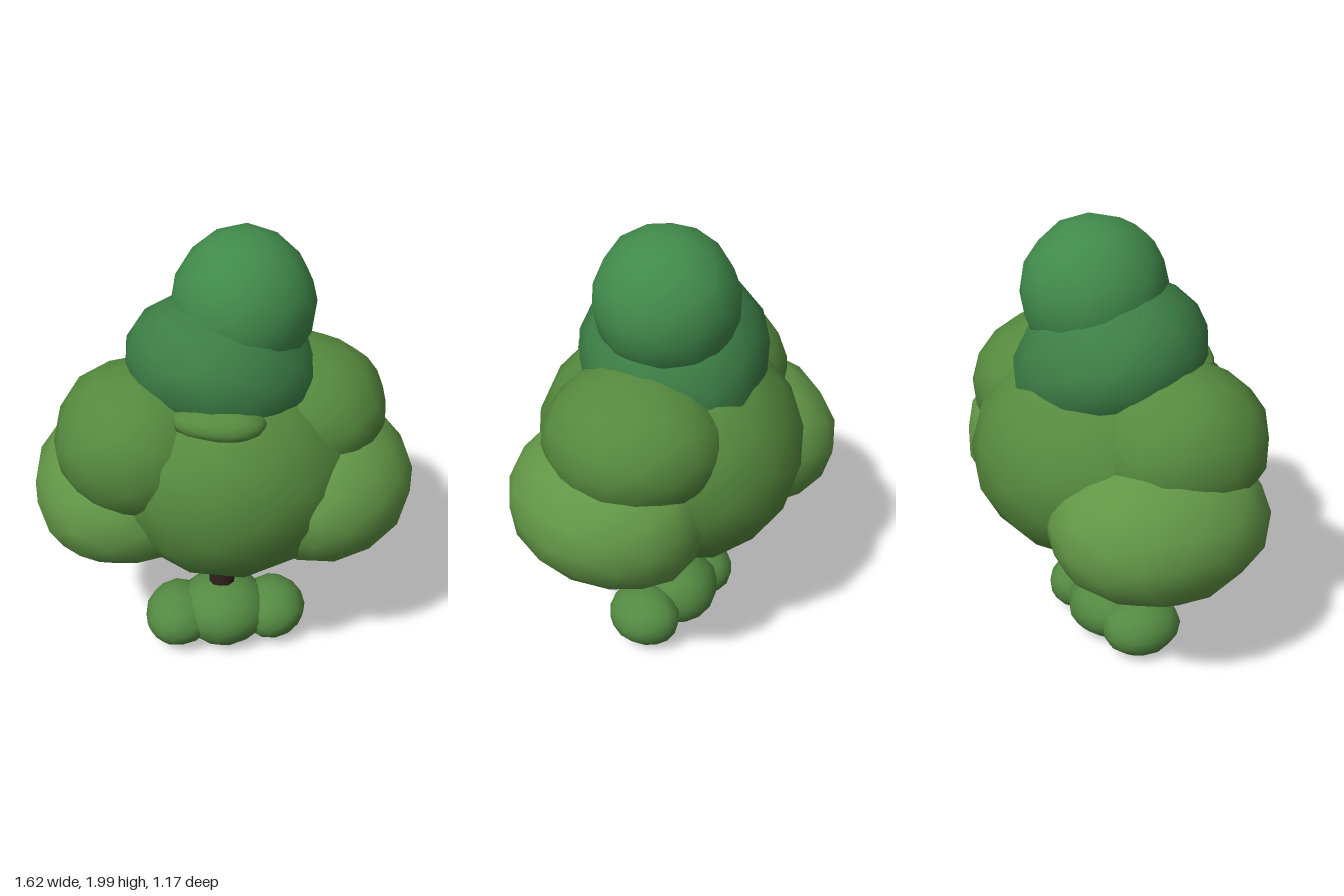
import * as THREE from 'three';
import { mergeVertices } from 'three/addons/utils/BufferGeometryUtils.js';

const mat = (color) => new THREE.MeshStandardMaterial({ color });

// Low-poly, gently lumpy ellipsoid with smooth normals; lean shifts x and z with height
function blob(name, material, [x, y, z], [rx, ry, rz], seed, lump = 0.025, lean = [0, 0]) {
  let geo = new THREE.IcosahedronGeometry(1, 2);
  geo.deleteAttribute('normal');
  geo.deleteAttribute('uv');
  geo = mergeVertices(geo, 1e-3);
  const pos = geo.attributes.position;
  const v = new THREE.Vector3();
  for (let i = 0; i < pos.count; i++) {
    v.fromBufferAttribute(pos, i);
    const n = Math.sin(v.x * 5 + seed) + Math.sin(v.y * 6 + seed * 2.3) * Math.cos(v.z * 5 - seed);
    v.multiplyScalar(1 + lump * n * 0.7);
    const h = v.y * ry;
    pos.setXYZ(i, v.x * rx + lean[0] * h, h, v.z * rz + lean[1] * h);
  }
  geo.computeVertexNormals();
  const mesh = new THREE.Mesh(geo, material);
  mesh.name = name;
  mesh.position.set(x, y, z);
  return mesh;
}

export function createModel() {
  const tree = new THREE.Group();
  tree.name = 'tree';

  const bark = mat(0x30211c);
  const leaf = mat(0x568a3e);
  const lightLeaf = mat(0x629646);
  const darkLeaf = mat(0x3c7d45);
  const topLeaf = mat(0x418a4b);
  const bushLeaf = mat(0x548a42);

  // Trunk
  const trunk = new THREE.Mesh(new THREE.CylinderGeometry(0.05, 0.065, 0.75, 10), bark);
  trunk.name = 'trunk';
  trunk.position.set(-0.005, 0.395, 0.012);
  tree.add(trunk);

  // Crown: centre, side lobes, dark upper layers
  const crown = new THREE.Group();
  crown.name = 'crown';
  crown.add(
    blob('crownCentre', leaf, [0.02, 1.0, 0], [0.56, 0.5, 0.59], 1, 0.012),
    blob('lowerLeftLobe', lightLeaf, [0.425, 0.89, -0.05], [0.385, 0.335, 0.46], 2),
    blob('lowerRightLobe', lightLeaf, [-0.41, 0.86, 0.03], [0.41, 0.34, 0.475], 4),
    blob('upperLeftLobe', leaf, [0.32, 1.19, -0.11], [0.36, 0.31, 0.39], 3),
    blob('upperRightLobe', leaf, [-0.33, 1.15, 0.16], [0.35, 0.33, 0.38], 5),
    blob('frontLeafRidge', leaf, [0.03, 1.355, 0.35], [0.19, 0.07, 0.11], 6, 0.05),
    blob('middleCap', darkLeaf, [0, 1.42, 0], [0.4, 0.335, 0.4], 7, 0.03, [-0.18, 0.18]),
    blob('topCap', topLeaf, [0.077, 1.687, -0.04], [0.298, 0.314, 0.31], 8, 0.015),
  );
  tree.add(crown);

  // Bush around the foot of the trunk
  const bush = new THREE.Group();
  bush.name = 'bush';
  bush.add(
    blob('bushCentre', bushLeaf, [0, 0.168, 0.01], [0.213, 0.165, 0.206], 1.5),
    blob('bushLeft', bushLeaf, [0.22, 0.15, -0.04], [0.15, 0.132, 0.172], 2.5),
    blob('bushRight', bushLeaf, [-0.197, 0.15, 0.06], [0.157, 0.137, 0.18], 3.5),
  );
  tree.add(bush);

  // Rest the model on the ground
  tree.updateMatrixWorld(true);
  const box = new THREE.Box3().setFromObject(tree, true);
  tree.children.forEach((c) => { c.position.y -= box.min.y; });
  return tree;
}
